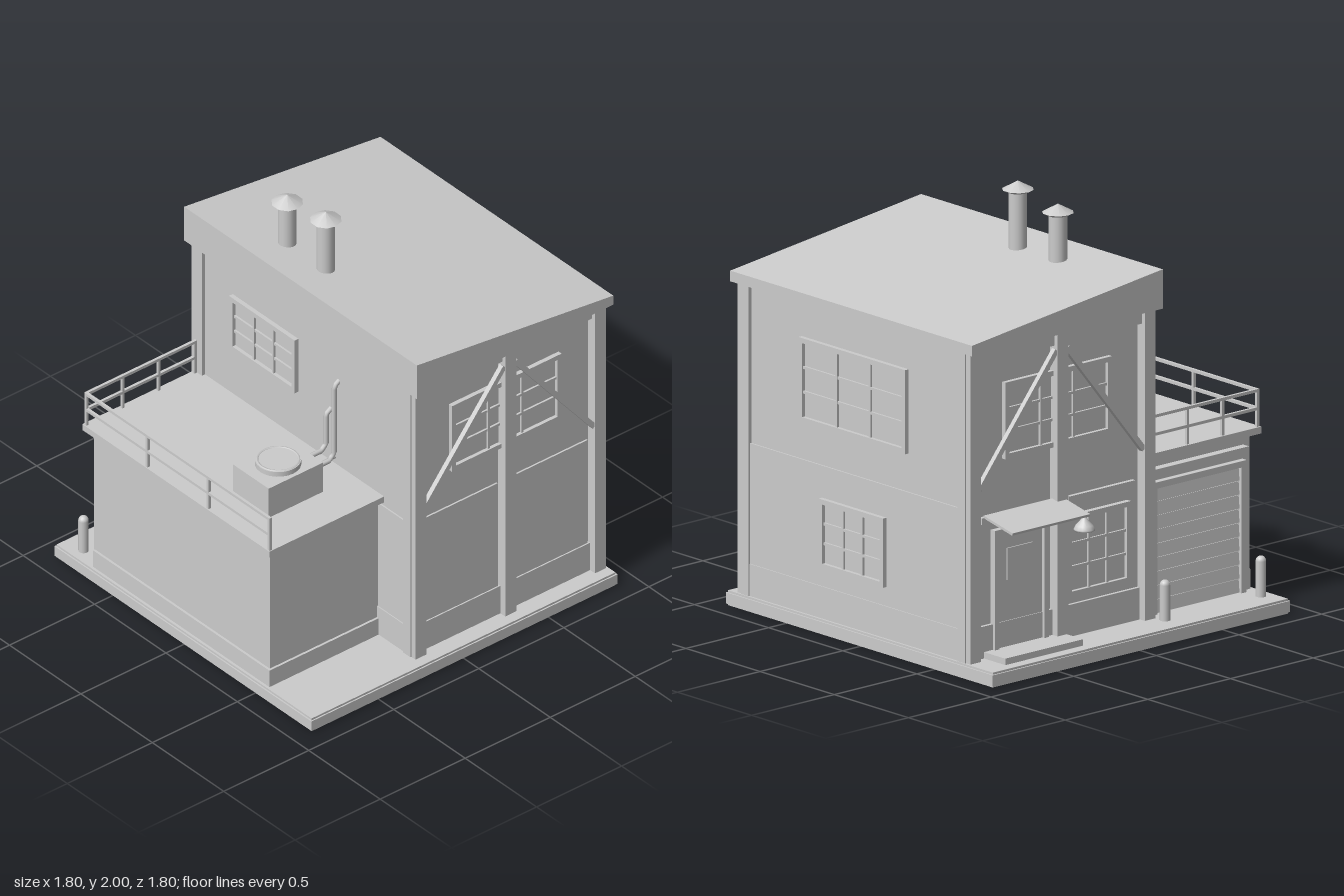
import * as THREE from 'three';

const mat = new THREE.MeshStandardMaterial({ color: 0xcccccc, side: THREE.DoubleSide });
mat.name = 'plain grey';

function add(parent, geo, name, x = 0, y = 0, z = 0) {
  const m = new THREE.Mesh(geo, mat);
  m.name = name;
  m.position.set(x, y, z);
  parent.add(m);
  return m;
}
// box given by its limits on each axis
function box(parent, name, x0, x1, y0, y1, z0, z1) {
  return add(parent, new THREE.BoxGeometry(x1 - x0, y1 - y0, z1 - z0), name,
    (x0 + x1) / 2, (y0 + y1) / 2, (z0 + z1) / 2);
}
// square bar between two points in an XY plane
function bar(parent, name, x0, y0, x1, y1, z, w, d) {
  const m = add(parent, new THREE.BoxGeometry(Math.hypot(x1 - x0, y1 - y0), w, d), name,
    (x0 + x1) / 2, (y0 + y1) / 2, z);
  m.rotation.z = Math.atan2(y1 - y0, x1 - x0);
  return m;
}
function tube(parent, name, pts, r) {
  const path = new THREE.CurvePath();
  const v = pts.map(p => new THREE.Vector3(...p));
  for (let i = 1; i < v.length; i++) path.add(new THREE.LineCurve3(v[i - 1], v[i]));
  return add(parent, new THREE.TubeGeometry(path, (v.length - 1) * 6, r, 8), name);
}
function group(parent, name, x, y, z, ry = 0) {
  const g = new THREE.Group();
  g.name = name;
  g.position.set(x, y, z);
  g.rotation.y = ry;
  parent.add(g);
  return g;
}

// framed window with a grid of bars, facing local +z, on the plane z = 0
function gridWindow(parent, name, x, y, z, ry, w, h) {
  const g = group(parent, name, x, y, z, ry), f = 0.024, b = 0.006;
  const a = w / 2, c = h / 2;
  for (const s of [-1, 1]) {
    box(g, 'frameSide', s * (a - f / 2) - f / 2, s * (a - f / 2) + f / 2, -c, c, -0.01, 0.022);
    box(g, 'frameRail', -a + f, a - f, s * (c - f / 2) - f / 2, s * (c - f / 2) + f / 2, -0.01, 0.022);
    const mx = s * (w - 2 * f) / 6, my = s * (h - 2 * f) / 6;
    box(g, 'uprightBar', mx - b, mx + b, -c + f, c - f, -0.005, 0.015);
    box(g, 'crossBar', -a + f, a - f, my - b, my + b, -0.005, 0.014);
  }
  box(g, 'glass', -a + f, a - f, -c + f, c - f, -0.003, 0.004);
}

// timber-framed end wall: posts, top rail, panels, braces and upper window
function facade(parent, name, z, ry, panels) {
  const g = group(parent, name, 0.3225, 0, z, ry);
  box(g, 'middlePost', -0.0325, 0.0325, 0.07, 1.525, -0.01, 0.05);
  for (const s of [-1, 1]) {
    const px = s * 0.5275;
    box(g, 'cornerPost', px - 0.0325, px + 0.0325, 0.07, 1.525, -0.01, 0.05);
    const fx = s * 0.55;
    box(g, 'cornerFlange', fx - 0.016, fx + 0.016, 0.07, 1.525, -0.03, 0.02);
    const bx = s * 0.264;
    box(g, 'topRail', bx - 0.235, bx + 0.235, 1.46, 1.525, -0.01, 0.03);
    bar(g, 'brace', s * 0.495, 0.875, s * 0.0325, 1.44, 0.035, 0.026, 0.024);
    box(g, 'plinth', bx - 0.235, bx + 0.235, 0.07, 0.22, -0.01, 0.016);
    if (panels) box(g, 'lowerPanel', bx - 0.222, bx + 0.222, 0.22, 0.785, -0.01, 0.009);
    else box(g, 'floorLedge', bx - 0.2, bx + 0.2, 0.7, 0.73, -0.01, 0.02);
  }
  gridWindow(g, 'upperWindow', 0, 1.16, 0, 0, 0.645, 0.36);
  return g;
}

function chimney(parent, z, top) {
  const g = group(parent, 'chimney', -0.06, 0, z);
  add(g, new THREE.CylinderGeometry(0.042, 0.042, top - 1.66, 16), 'stack', 0, (top + 1.56) / 2, 0);
  add(g, new THREE.ConeGeometry(0.073, 0.04, 10), 'cap', 0, top - 0.02, 0);
  add(g, new THREE.CylinderGeometry(0.073, 0.05, 0.012, 10), 'capRim', 0, top - 0.046, 0);
}

export function createModel() {
  const root = new THREE.Group();
  root.name = 'workshop';

  // base slab with a small top bevel
  box(root, 'baseSlab', -0.9, 0.9, 0.008, 0.06, -0.9, 0.9);
  box(root, 'baseTop', -0.893, 0.893, 0, 0.07, -0.893, 0.893);

  // main hall and its sloping roof
  box(root, 'hallWalls', -0.225, 0.87, 0.07, 1.56, -0.68, 0.79);
  for (const s of [-1, 1]) {
    const c = 0.3225 + s * 0.54;
    box(root, 'sideLowerWall', c - 0.015, c + 0.015, 0.07, 0.785, -0.675, 0.785);
    box(root, 'sidePlinth', c - 0.02, c + 0.02, 0.07, 0.22, -0.675, 0.785);
  }
  const slope = new THREE.Shape([[-0.255, 1.525], [0.9, 1.525], [0.9, 1.575], [-0.255, 1.71]]
    .map(p => new THREE.Vector2(...p)));
  add(root, new THREE.ExtrudeGeometry(slope, { depth: 1.63, bevelEnabled: false }), 'roof', 0, 0, -0.76);
  facade(root, 'frontFacade', 0.79, 0, true);
  facade(root, 'backFacade', -0.68, Math.PI, false);
  chimney(root, 0, 2);
  chimney(root, -0.27, 1.95);

  // side and back windows
  gridWindow(root, 'rightUpperWindow', 0.87, 1.1625, 0.06, Math.PI / 2, 0.72, 0.395);
  gridWindow(root, 'rightLowerWindow', 0.877, 0.4725, 0.0575, Math.PI / 2, 0.435, 0.325);
  gridWindow(root, 'leftWindow', -0.225, 1.235, -0.225, -Math.PI / 2, 0.46, 0.29);
  gridWindow(root, 'backLowerWindow', 0.08, 0.45, -0.685, Math.PI, 0.38, 0.38);

  // back door with frame, pane, step and canopy
  box(root, 'doorLeaf', 0.41, 0.69, 0.1, 0.63, -0.692, -0.67);
  box(root, 'doorPane', 0.475, 0.63, 0.41, 0.56, -0.698, -0.69);
  for (const x of [0.39, 0.69]) box(root, 'doorJamb', x, x + 0.025, 0.1, 0.655, -0.71, -0.67);
  box(root, 'doorHead', 0.39, 0.715, 0.63, 0.66, -0.71, -0.67);
  box(root, 'doorStep', 0.3, 0.77, 0.07, 0.1, -0.84, -0.68);
  const canopy = add(root, new THREE.BoxGeometry(0.47, 0.012, 0.2), 'canopy', 0.535, 0.713, -0.79);
  canopy.rotation.x = -0.21;

  // wall lamp on a bent arm
  tube(root, 'lampArm', [[0.27, 0.66, -0.72], [0.27, 0.685, -0.78], [0.27, 0.65, -0.815]], 0.006);
  const shade = [[0.01, 0.662], [0.02, 0.645], [0.04, 0.625], [0.048, 0.608], [0.048, 0.6], [0, 0.604]];
  add(root, new THREE.LatheGeometry(shade.map(p => new THREE.Vector2(...p)).reverse(), 14), 'lampShade', 0.27, 0, -0.815);

  // low annex with plinth and roof deck
  box(root, 'annexWalls', -0.868, -0.2, 0.07, 0.81, -0.66, 0.57);
  box(root, 'annexPlinth', -0.88, -0.22, 0.07, 0.16, -0.655, 0.582);
  box(root, 'annexDeck', -0.9, -0.22, 0.803, 0.835, -0.705, 0.605);

  // roller door on the annex
  for (const x of [-0.825, -0.285]) box(root, 'rollerJamb', x, x + 0.03, 0.07, 0.69, -0.69, -0.64);
  box(root, 'rollerHead', -0.825, -0.255, 0.66, 0.69, -0.69, -0.64);
  box(root, 'rollerBox', -0.83, -0.25, 0.71, 0.755, -0.7, -0.64);
  for (let i = 0; i < 9; i++) {
    const y = 0.07 + i * 0.0656;
    const slat = box(root, 'rollerSlat', -0.796, -0.284, y, y + 0.062, -0.672, -0.655);
    slat.rotation.x = 0.1;
  }

  // deck railing on the back and outer side
  const rail = group(root, 'railing', 0, 0, 0);
  for (const y of [0.92, 1.005]) {
    box(rail, 'sideRail', -0.895, -0.881, y - 0.007, y + 0.007, -0.695, 0.6);
    box(rail, 'backRail', -0.895, -0.24, y - 0.007, y + 0.007, -0.697, -0.683);
  }
  for (let i = 0; i < 4; i++) {
    const z = -0.69 + i * 0.428, x = -0.888 + i * 0.212;
    box(rail, 'sideRailPost', -0.895, -0.881, 0.83, 1.005, z - 0.007, z + 0.007);
    if (i) box(rail, 'backRailPost', x - 0.007, x + 0.007, 0.83, 1.005, -0.697, -0.683);
  }

  // rooftop cooling unit with fan ring and pipes
  box(root, 'coolingUnit', -0.74, -0.42, 0.845, 1.005, 0.16, 0.41);
  box(root, 'coolingFeet', -0.72, -0.44, 0.83, 0.85, 0.18, 0.39);
  add(root, new THREE.CylinderGeometry(0.105, 0.105, 0.03, 24), 'fanHousing', -0.58, 1.015, 0.285);
  add(root, new THREE.TorusGeometry(0.095, 0.008, 6, 24), 'fanRing', -0.58, 1.026, 0.285).rotation.x = Math.PI / 2;
  [[0.23, 0.91, 1.12], [0.285, 0.885, 1.3]].forEach(([z, y, top]) =>
    tube(root, 'coolingPipe', [[-0.43, y, z], [-0.28, y, z], [-0.25, y + 0.03, z],
      [-0.25, top - 0.02, z], [-0.22, top, z]], 0.012));
  tube(root, 'drainPipe', [[-0.43, 0.87, 0.26], [-0.22, 0.87, 0.26]], 0.008);

  // bollards beside the roller door
  for (const x of [-0.83, -0.25]) {
    add(root, new THREE.CapsuleGeometry(0.024, 0.17, 5, 14), 'bollard', x, 0.151, -0.78);
  }
  return root;
}
